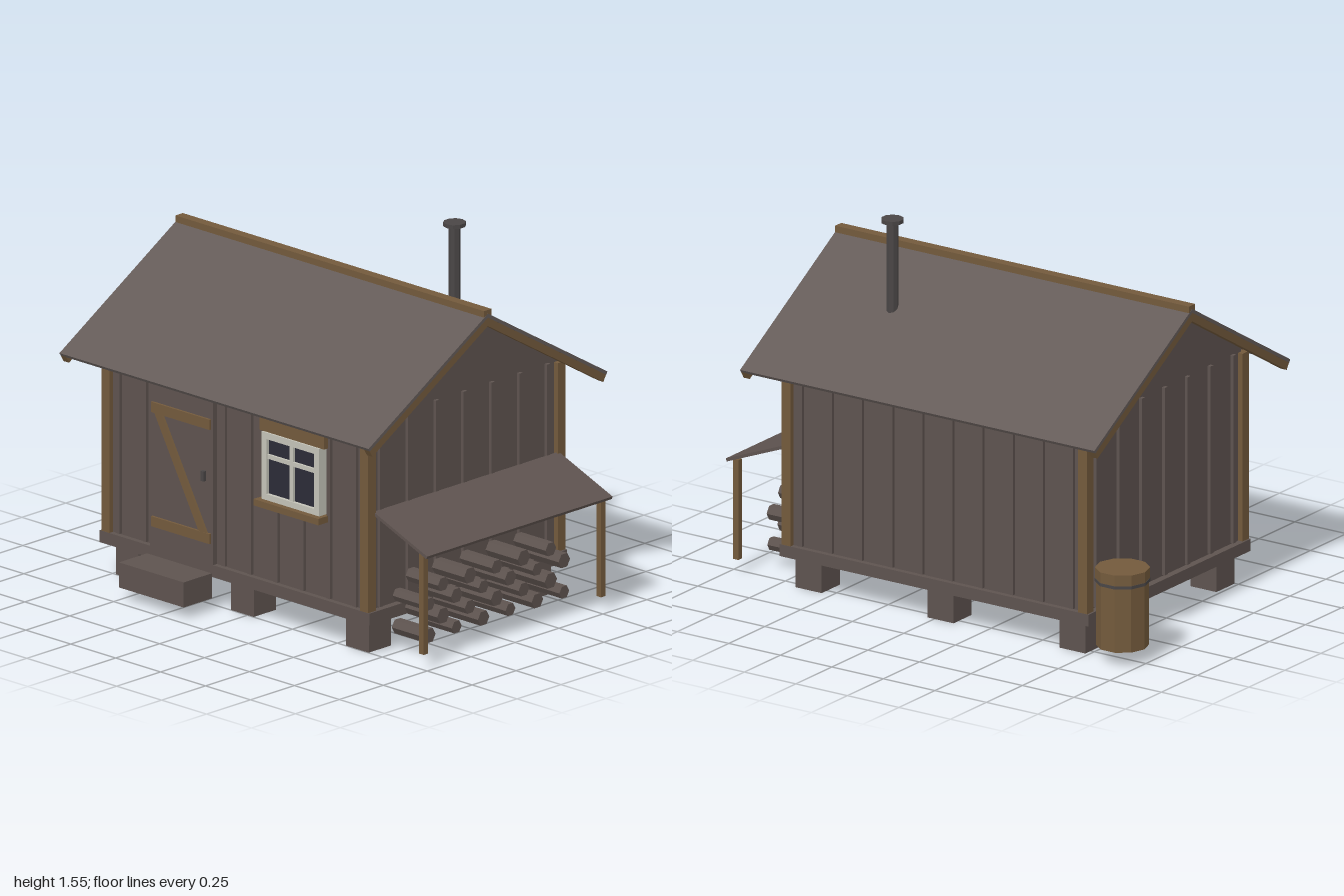
import * as THREE from 'three';

const CX = -0.03, CZ = -0.02; // centre of the hut

export function createModel() {
  const hut = new THREE.Group();
  hut.name = 'woodenHut';
  const mat = (name, color) => {
    const m = new THREE.MeshStandardMaterial({ color, flatShading: true });
    m.name = name;
    return m;
  };
  const boards = mat('weatheredBoards', 0x5e534f);
  const roofing = mat('roofing', 0x645b58);
  const timber = mat('trimTimber', 0x735a3c);
  const white = mat('windowWhite', 0xc4c3b8);
  const glass = mat('darkGlass', 0x2c2c38);
  const iron = mat('iron', 0x4a4646);

  const add = (name, geo, m, parent = hut) => {
    const mesh = new THREE.Mesh(geo, m);
    mesh.name = name;
    parent.add(mesh);
    return mesh;
  };
  const group = (name) => {
    const g = new THREE.Group();
    g.name = name;
    hut.add(g);
    return g;
  };
  // box given by its limits on each axis
  const box = (name, m, [x0, x1], [y0, y1], [z0, z1], parent) => {
    const mesh = add(name, new THREE.BoxGeometry(x1 - x0, y1 - y0, z1 - z0), m, parent);
    mesh.position.set((x0 + x1) / 2, (y0 + y1) / 2, (z0 + z1) / 2);
    return mesh;
  };
  const outline = (pts) => new THREE.Shape(pts.map((p) => new THREE.Vector2(...p)));
  // (z, y) section drawn out along x
  const prism = (name, m, pts, x0, x1, parent) => {
    const geo = new THREE.ExtrudeGeometry(outline(pts), { depth: x1 - x0, bevelEnabled: false });
    geo.rotateY(-Math.PI / 2).translate(x1, 0, 0);
    return add(name, geo, m, parent);
  };
  const cylinder = (name, m, r, y0, y1, sides, x, z, parent) => {
    const mesh = add(name, new THREE.CylinderGeometry(r, r, y1 - y0, sides), m, parent);
    mesh.position.set(x, (y0 + y1) / 2, z);
    return mesh;
  };

  // Foundation blocks and floor
  const blocks = group('foundation');
  for (const x of [-0.64, 0, 0.64])
    for (const z of [-0.455, 0.455])
      box('foundationBlock', boards, [CX + x - 0.063, CX + x + 0.063], [0, 0.137],
        [CZ + z - 0.063, CZ + z + 0.063], blocks);
  box('floor', boards, [CX - 0.75, CX + 0.75], [0.135, 0.185], [CZ - 0.563, CZ + 0.563]);

  // Walls with gables
  const slope = 0.596, ridgeY = 1.335, half = 0.68;
  const wallTop = ridgeY - 0.02;
  prism('walls', boards, [[CZ - 0.54, 0.185], [CZ + 0.54, 0.185], [CZ + 0.54, wallTop - slope * 0.54],
    [CZ, wallTop], [CZ - 0.54, wallTop - slope * 0.54]], CX - 0.72, CX + 0.72);

  // Corner posts
  const posts = group('cornerPosts');
  for (const sx of [-1, 1])
    for (const sz of [-1, 1]) {
      const x = CX + sx * 0.72, z = CZ + sz * 0.54;
      box('cornerPost', timber, [x - 0.022, x + 0.022], [0.185, 0.975], [z - 0.022, z + 0.022], posts);
    }

  // Battens on all four walls
  const battens = group('battens');
  for (let i = 0; i < 10; i++) {
    const x = CX - 0.658 + i * 0.1462;
    for (const s of [-1, 1]) {
      const z = CZ + s * 0.543;
      box('batten', boards, [x - 0.01, x + 0.01], [0.19, 0.972], [z - 0.011, z + 0.011], battens);
    }
  }
  for (let i = -3; i <= 3; i++) {
    const z = CZ + i * 0.1585;
    for (const s of [-1, 1]) {
      const x = CX + s * 0.723;
      box('batten', boards, [x - 0.011, x + 0.011], [0.19, 0.98], [z - 0.01, z + 0.01], battens);
    }
  }

  // Roof sheets, bargeboards and ridge beam; bands run parallel to the slope
  const len = Math.hypot(1, slope), ny = 1 / len, nz = slope / len;
  const band = (t0, t1) => {
    const at = (s, t) => [CZ + s * (half - t * nz), ridgeY - slope * half - t * ny];
    return [at(-1, t1), [CZ, ridgeY - t1 * len], at(1, t1), at(1, t0), [CZ, ridgeY - t0 * len], at(-1, t0)];
  };
  const roof = group('roof');
  prism('roofSheets', roofing, band(0, 0.014), CX - 0.86, CX + 0.86, roof);
  for (const s of [-1, 1]) {
    const x = CX + s * 0.844;
    prism('bargeboard', timber, band(0.012, 0.045), x - 0.015, x + 0.015, roof);
  }
  box('ridgeBeam', timber, [CX - 0.859, CX + 0.859], [1.315, 1.35], [CZ - 0.021, CZ + 0.021], roof);

  // Stove pipe
  const pipe = group('stovePipe');
  cylinder('pipe', iron, 0.024, 1.1, 1.535, 8, 0.37, -0.3, pipe);
  cylinder('pipeCap', iron, 0.046, 1.53, 1.546, 10, 0.37, -0.3, pipe);

  // Door with Z brace, handle and step
  const door = group('door');
  box('doorPanel', boards, [-0.5, -0.15], [0.185, 0.88], [0.51, 0.543], door);
  box('topLedge', timber, [-0.485, -0.16], [0.752, 0.795], [0.54, 0.553], door);
  box('bottomLedge', timber, [-0.485, -0.16], [0.273, 0.315], [0.54, 0.553], door);
  const brace = new THREE.ExtrudeGeometry(
    outline([[-0.468, 0.752], [-0.222, 0.315], [-0.178, 0.315], [-0.424, 0.752]]),
    { depth: 0.012, bevelEnabled: false });
  add('diagonalBrace', brace, timber, door).position.z = 0.54;
  box('handle', iron, [-0.205, -0.188], [0.53, 0.572], [0.54, 0.558], door);
  box('doorStep', boards, [-0.505, -0.145], [0.05, 0.155], [0.555, 0.715]);

  // Window
  const win = group('window');
  box('pane', glass, [0.15, 0.45], [0.54, 0.81], [0.53, 0.548], win);
  const bars = [
    [[0.14, 0.167], [0.535, 0.82]], [[0.433, 0.46], [0.535, 0.82]],
    [[0.14, 0.46], [0.535, 0.562]], [[0.14, 0.46], [0.793, 0.82]],
    [[0.29, 0.31], [0.55, 0.81]], [[0.15, 0.45], [0.71, 0.728]],
  ];
  bars.forEach(([x, y], i) =>
    box(i < 4 ? 'windowFrame' : 'glazingBar', white, x, y, [0.52, i < 4 ? 0.563 : 0.558], win));
  box('windowHead', timber, [0.12, 0.48], [0.82, 0.9], [0.52, 0.555], win);
  box('windowSill', timber, [0.12, 0.48], [0.51, 0.537], [0.52, 0.588], win);

  // Lean-to over the firewood
  const leanTo = group('leanTo');
  const lean = add('leanToRoof', new THREE.BoxGeometry(Math.hypot(0.3, 0.118), 0.013, 1.055), boards, leanTo);
  lean.position.set(0.85, 0.534, -0.025);
  lean.rotation.z = -Math.atan2(0.118, 0.3);
  for (const z of [0.482, -0.528])
    box('leanToPost', timber, [0.95, 0.975], [0.06, 0.48], [z - 0.0125, z + 0.0125], leanTo);

  // Stacked firewood, rows staggered by half a step
  const wood = group('firewood');
  for (let row = 0; row < 4; row++) {
    const n = row % 2 ? 5 : 6;
    for (let i = 0; i < n; i++) {
      const r = 0.028 + 0.007 * (((i * 2 + row * 3) % 4) / 3);
      const geo = new THREE.CylinderGeometry(r, r, 0.18, 6).rotateZ(Math.PI / 2);
      add('log', geo, boards, wood).position.set(0.81, 0.097 + row * 0.066, (i - (n - 1) / 2) * 0.153);
    }
  }

  // Water barrel with hoop and lid
  const barrel = group('barrel');
  const parts = [
    ['barrelBody', timber, 0.106, 0.06, 0.335],
    ['barrelHoop', iron, 0.111, 0.328, 0.341],
    ['barrelLid', timber, 0.11, 0.341, 0.386],
  ];
  for (const [name, m, r, y0, y1] of parts)
    cylinder(name, m, r, y0, y1, 10, -0.89, -0.505, barrel).rotation.y = Math.PI / 2;

  return hut;
}
